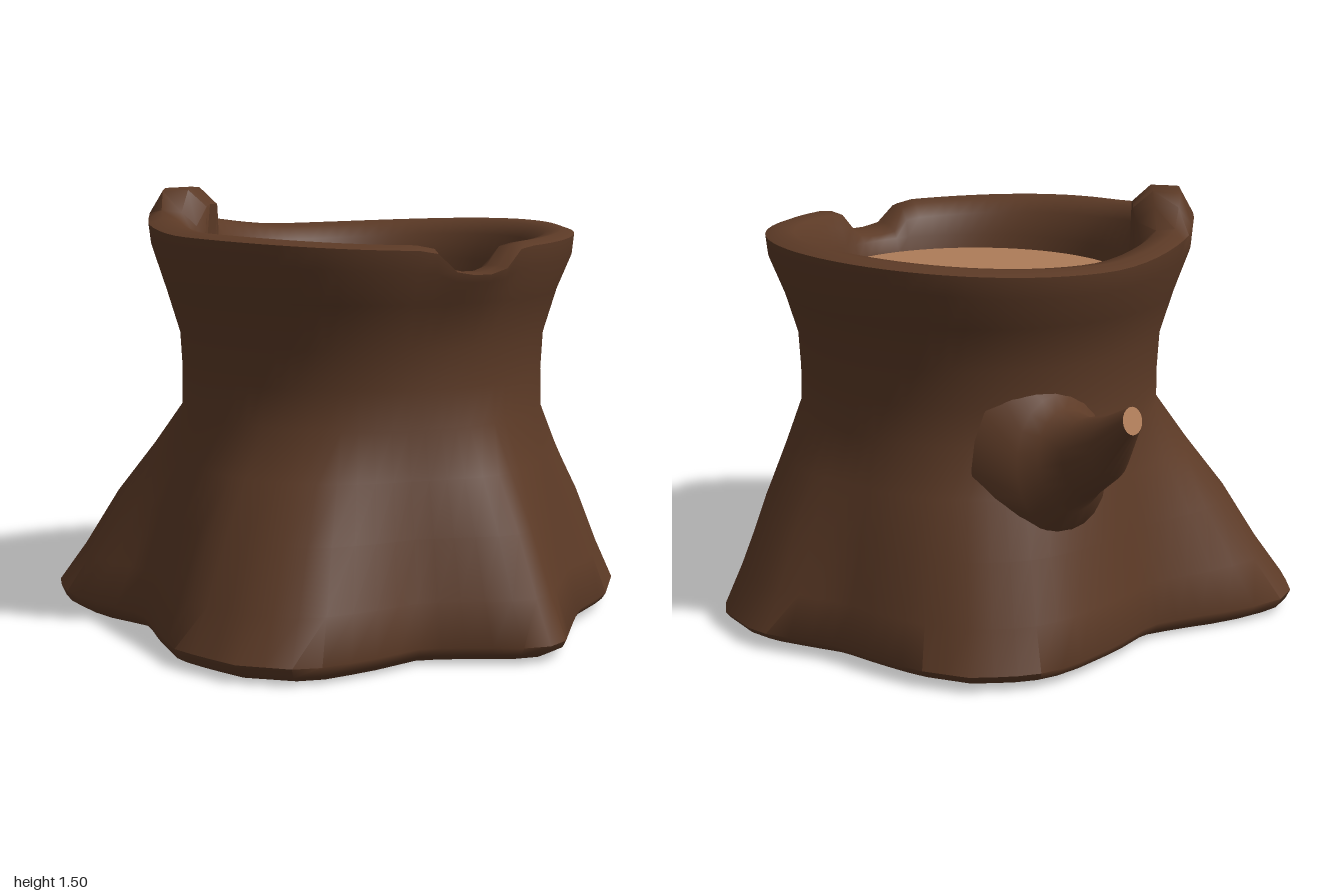
import * as THREE from 'three';
import { toCreasedNormals } from 'three/addons/utils/BufferGeometryUtils.js';

const SEG = 72;

// Skin a list of rings; each ring is a function angle -> [x, y, z]
function loft(rings, seg, crease) {
  const pos = [], idx = [];
  for (const ring of rings) {
    for (let i = 0; i < seg; i++) pos.push(...ring((i / seg) * Math.PI * 2));
  }
  for (let j = 0; j < rings.length - 1; j++) {
    for (let i = 0; i < seg; i++) {
      const k = (i + 1) % seg;
      const a = j * seg + i, b = j * seg + k, c = b + seg, d = a + seg;
      idx.push(a, b, c, a, c, d);
    }
  }
  const geo = new THREE.BufferGeometry();
  geo.setAttribute('position', new THREE.Float32BufferAttribute(pos, 3));
  geo.setIndex(idx);
  return toCreasedNormals(geo, crease);
}

// Root outline on the ground, [x, z]
const OUTLINE = [
  [0.14, 0.99], [0.25, 0.95], [0.40, 0.78], [0.52, 0.65], [0.72, 0.53], [0.94, 0.28], [0.95, 0.04],
  [0.87, -0.10], [0.79, -0.23], [0.75, -0.38], [0.69, -0.55], [0.58, -0.71], [0.41, -0.81], [0.27, -0.83],
  [0.03, -0.79], [-0.17, -0.73], [-0.32, -0.76], [-0.46, -0.80], [-0.62, -0.83], [-0.73, -0.83],
  [-0.80, -0.78], [-0.92, -0.60], [-0.95, -0.40], [-0.92, -0.26], [-0.84, -0.08], [-0.83, 0.02],
  [-0.87, 0.20], [-0.90, 0.43], [-0.81, 0.67], [-0.64, 0.83], [-0.41, 0.83], [-0.20, 0.80], [-0.04, 0.88],
];

// Where the ray at angle a (0 = front, toward +x) meets the outline
function outlineAt(a) {
  const dx = Math.sin(a), dz = Math.cos(a);
  for (let i = 0; i < OUTLINE.length; i++) {
    const [x1, z1] = OUTLINE[i], [x2, z2] = OUTLINE[(i + 1) % OUTLINE.length];
    const s1 = x1 * dz - z1 * dx, s2 = x2 * dz - z2 * dx;
    if (s1 <= 0 && s2 > 0) {
      const t = s1 / (s1 - s2);
      const p = [x1 + (x2 - x1) * t, z1 + (z2 - z1) * t];
      if (p[0] * dx + p[1] * dz > 0) return p;
    }
  }
  return [dx * 0.85, dz * 0.85];
}

const circle = (a, r, cx, cz) => [cx + r * Math.sin(a), cz + r * Math.cos(a)];

// Soft plateau around an angle: 1 inside w0, 0 outside w1
function plateau(a, centre, w0, w1) {
  const d = Math.abs(Math.atan2(Math.sin(a - centre), Math.cos(a - centre)));
  return 1 - THREE.MathUtils.smoothstep(d, w0, w1);
}
const notch = (a) => plateau(a, 0.04, 0.09, 0.25);
const knob = (a) => plateau(a, -2.25, 0.12, 0.30);
const rimHeight = (a) => 1.325 + 0.03 * Math.sin(a) ** 2 + 0.035 * plateau(a, -2.3, 0.2, 0.9);

// Trunk ring between the waist circle (t = 0) and the root outline (t = 1)
const rootRing = (y, t, scale = 1, tilt = 0) => (a) => {
  const [ox, oz] = outlineAt(a), [wx, wz] = circle(a, 0.635, 0.005, 0.025);
  const x = (wx + (ox - wx) * t) * scale, z = (wz + (oz - wz) * t) * scale;
  return [x, y + tilt * (x + 1), z];
};
const wallRing = (y, r) => (a) => {
  const [x, z] = circle(a, r, 0.008, 0.02);
  return [x, y, z];
};
// Rim ring: offset from the wavy rim height, cut by the notch and raised by the knob
const rimRing = (r, dy, cut, lift, inset = 0) => (a) => {
  const [x, z] = circle(a, r - inset * knob(a), 0.01, 0.015 + (0.74 - r) * 0.1);
  return [x, rimHeight(a) + dy - cut * notch(a) + lift * knob(a), z];
};
const innerRing = (r, y) => (a) => {
  const [x, z] = circle(a, r, 0.015, 0.035);
  return [x, y, z];
};

// Branch rings from top and bottom points [z, y] and half width
const BRANCH_X = 0.157;
const BRANCH = [
  [[-0.50, 0.99], [-0.50, 0.36], 0.27],
  [[-0.60, 0.91], [-0.68, 0.45], 0.19],
  [[-0.65, 0.87], [-0.72, 0.54], 0.14],
  [[-0.74, 0.865], [-0.79, 0.61], 0.108],
  [[-0.86, 0.90], [-0.89, 0.69], 0.085],
  [[-0.96, 0.95], [-0.995, 0.87], 0.055],
];
const branchRing = ([top, bottom, w], scale = 1, skew = 0) => (a) => {
  const c = Math.cos(a) * scale, s = Math.sin(a) * scale;
  return [
    BRANCH_X - w * c,
    (top[1] + bottom[1]) / 2 + ((top[1] - bottom[1]) / 2) * s,
    (top[0] + bottom[0]) / 2 + ((top[0] - bottom[0]) / 2) * s + skew * c,
  ];
};

export function createModel() {
  const bark = new THREE.MeshStandardMaterial({ color: 0x5c3a26 });
  bark.name = 'bark';
  const wood = new THREE.MeshStandardMaterial({ color: 0xae7c58 });
  wood.name = 'cutWood';

  const group = new THREE.Group();
  group.name = 'treeStump';
  const add = (name, geo, mat) => {
    const mesh = new THREE.Mesh(geo, mat);
    mesh.name = name;
    group.add(mesh);
  };

  // Trunk: underside, flared roots, waist, rim and inner lip in one skin
  add('trunk', loft([
    rootRing(0.005, 1, 0, 0.008),
    rootRing(0, 1, 0.94, 0.01),
    rootRing(0.025, 1, 0.985, 0.008),
    rootRing(0.06, 1),
    rootRing(0.2, 0.79),
    rootRing(0.4, 0.53),
    rootRing(0.58, 0.24),
    rootRing(0.74, 0),
    wallRing(0.87, 0.633),
    wallRing(1.0, 0.64),
    wallRing(1.15, 0.685),
    rimRing(0.737, -0.07, 0.035, 0),
    rimRing(0.745, 0, 0.08, 0.03),
    rimRing(0.70, 0.015, 0.09, 0.10),
    rimRing(0.64, 0.005, 0.08, 0.115, 0.03),
    rimRing(0.595, -0.04, 0.05, 0.10, 0.05),
    innerRing(0.565, 1.22),
    innerRing(0.55, 1.16),
  ], SEG, 0.9), bark);

  // Sawn face sunk inside the rim
  const face = new THREE.CircleGeometry(0.56, SEG);
  face.rotateX(-Math.PI / 2);
  face.translate(0.015, 1.17, 0.035);
  add('sawnFace', face, wood);

  // Broken branch at the back with a cut tip
  const last = BRANCH.length - 1;
  add('branch', loft(BRANCH.map((b, i) => branchRing(b, 1, i === last ? 0.02 : 0)), 20, 1.2), bark);
  add('branchTip', loft([branchRing(BRANCH[last], 1, 0.02), branchRing(BRANCH[last], 0)], 20, 0.5), wood);

  return group;
}
